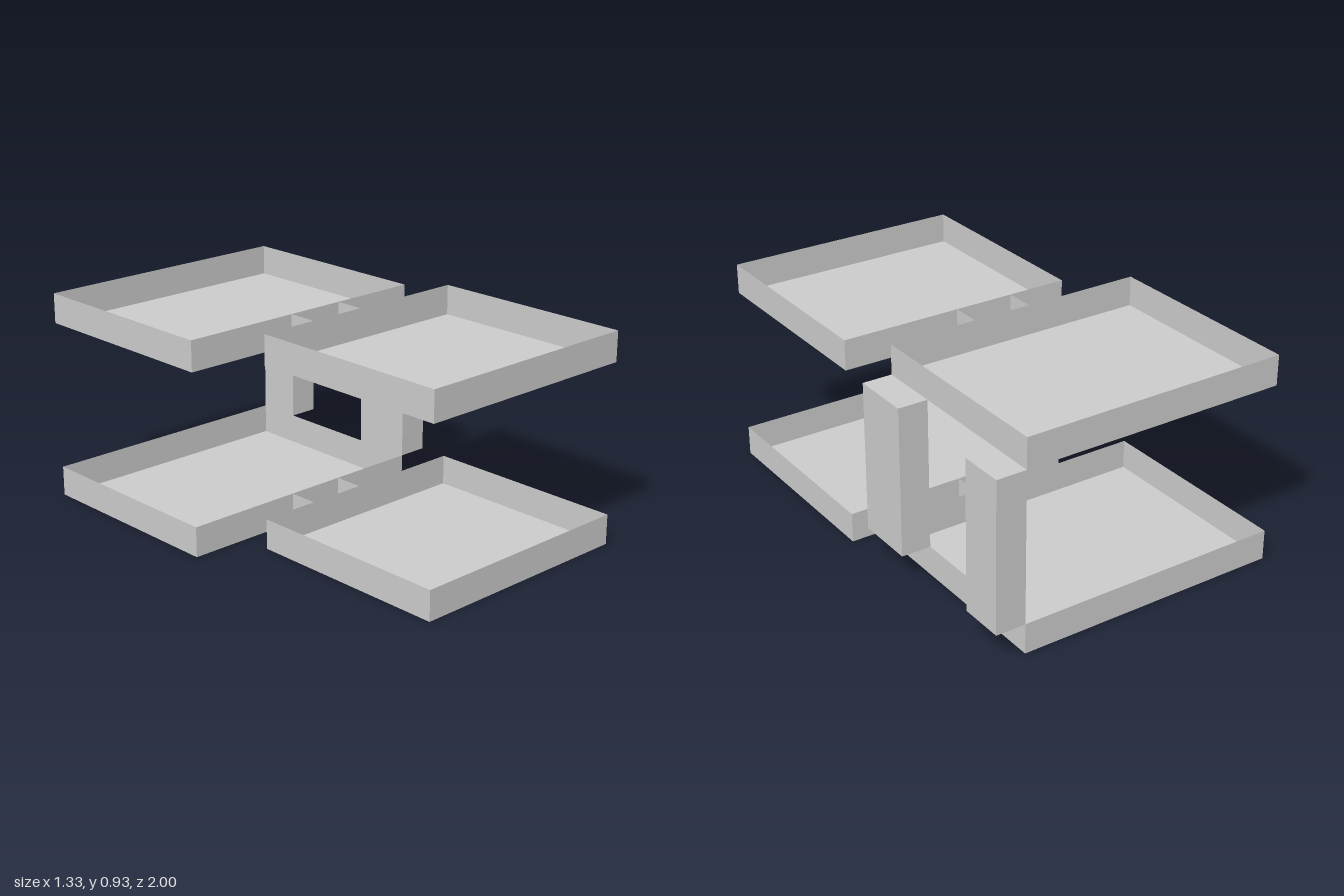
import * as THREE from 'three';

const U = 1 / 15; // modular step
const WALL = 2 * U;
const sheet = new THREE.MeshStandardMaterial({ color: 0xcccccc, side: THREE.DoubleSide, flatShading: true });
const solid = new THREE.MeshStandardMaterial({ color: 0xcccccc, flatShading: true });

function addMesh(parent, name, geometry, material, x, y, z) {
  const mesh = new THREE.Mesh(geometry, material);
  mesh.name = name;
  mesh.position.set(x, y, z);
  parent.add(mesh);
}

// Open-topped pan of thin sheets; bounds are in modular steps
function pan(name, x0, x1, z0, z1, endWalls = true) {
  const group = new THREE.Group();
  group.name = name;
  const w = (x1 - x0) * U, d = (z1 - z0) * U;
  const cx = (x0 + x1) / 2 * U, cz = (z0 + z1) / 2 * U;
  addMesh(group, 'floor', new THREE.PlaneGeometry(w, d).rotateX(-Math.PI / 2), sheet, cx, 0, cz);
  for (const s of [-1, 1]) {
    addMesh(group, 'sideWall', new THREE.PlaneGeometry(d, WALL).rotateY(s * Math.PI / 2), sheet, cx + s * w / 2, WALL / 2, cz);
    if (endWalls) {
      addMesh(group, 'endWall', new THREE.PlaneGeometry(w, WALL).rotateY(s > 0 ? 0 : Math.PI), sheet, cx, WALL / 2, cz + s * d / 2);
    }
  }
  return group;
}

export function createModel() {
  const model = new THREE.Group();
  model.name = 'twoStoreyFrame';

  // Two identical levels: offset trays joined by a short channel
  [['lowerLevel', 0], ['upperLevel', 12 * U]].forEach(([name, y]) => {
    const level = new THREE.Group();
    level.name = name;
    level.position.y = y;
    level.add(
      pan('backTray', -10, 8, -15, -1),
      pan('frontTray', -6, 10, 1, 15),
      pan('connectingChannel', -2, 2, -1, 1, false)
    );
    model.add(level);
  });

  // Posts along the left side of the back trays
  for (const [name, z0, z1] of [['backPost', -15, -12], ['frontPost', -5, -1]]) {
    addMesh(model, name, new THREE.BoxGeometry(2 * U, 10 * U, (z1 - z0) * U), solid, 9 * U, 7 * U, (z0 + z1) / 2 * U);
  }
  return model;
}
